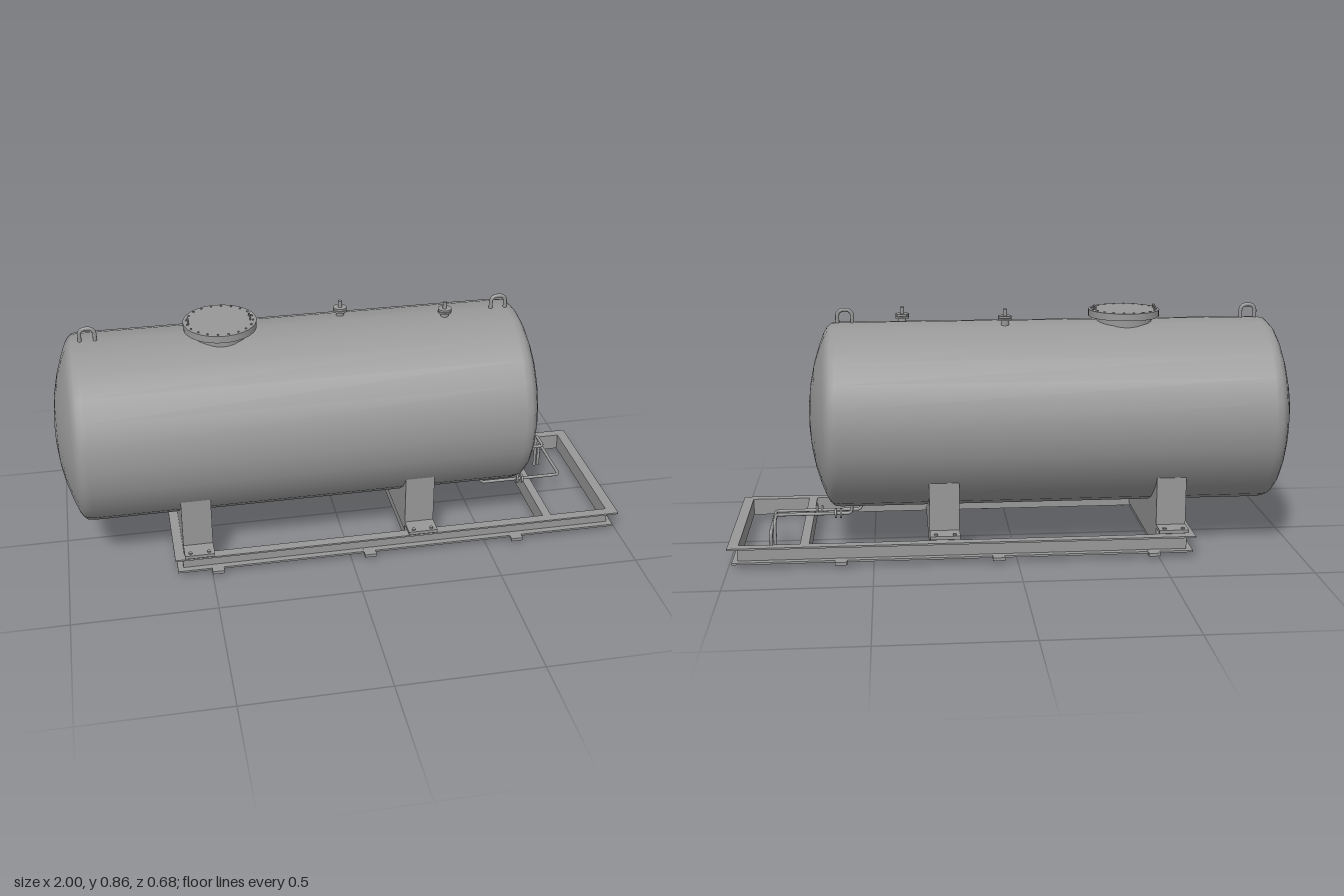
import * as THREE from 'three';

const mat = new THREE.MeshStandardMaterial({ color: 0x989898, side: THREE.DoubleSide });
const CY = 0.473, CZ = -0.004, R = 0.331; // tank axis and radius

export function createModel() {
  const root = new THREE.Group();
  root.name = 'storageTank';

  const add = (name, geo, x = 0, y = 0, z = 0, parent = root) => {
    const m = new THREE.Mesh(geo, mat);
    m.name = name;
    m.position.set(x, y, z);
    parent.add(m);
    return m;
  };
  const group = (name) => {
    const g = new THREE.Group();
    g.name = name;
    root.add(g);
    return g;
  };
  // box given by its limits
  const slab = (name, x0, x1, y0, y1, z0, z1, parent) =>
    add(name, new THREE.BoxGeometry(x1 - x0, y1 - y0, z1 - z0), (x0 + x1) / 2, (y0 + y1) / 2, (z0 + z1) / 2, parent);
  // upright cylinder given by its ends
  const post = (name, r, y0, y1, x, z, parent, sides = 16) =>
    add(name, new THREE.CylinderGeometry(r, r, y1 - y0, sides), x, (y0 + y1) / 2, z, parent);
  // pipe through corner points with rounded bends
  const pipe = (name, pts, r, bend, parent) => {
    const v = pts.map((p) => new THREE.Vector3(...p));
    const path = new THREE.CurvePath();
    let from = v[0];
    for (let i = 1; i < v.length - 1; i++) {
      const a = v[i].clone().add(v[i - 1].clone().sub(v[i]).setLength(bend));
      const b = v[i].clone().add(v[i + 1].clone().sub(v[i]).setLength(bend));
      path.add(new THREE.LineCurve3(from, a));
      path.add(new THREE.QuadraticBezierCurve3(a, v[i], b));
      from = b;
    }
    path.add(new THREE.LineCurve3(from, v[v.length - 1]));
    return add(name, new THREE.TubeGeometry(path, 90, r, 8), 0, 0, 0, parent);
  };

  // Tank shell with dished ends, turned onto its side
  const dish = [[0.722, 0], [0.719, 0.065], [0.711, 0.13], [0.697, 0.195], [0.678, 0.255],
    [0.661, 0.298], [0.65, 0.316], [0.636, 0.328], [0.615, R]];
  const profile = [
    ...dish.map(([x, r]) => new THREE.Vector2(r, -0.278 - x)),
    ...dish.slice().reverse().map(([x, r]) => new THREE.Vector2(r, x)),
  ];
  add('tankShell', new THREE.LatheGeometry(profile, 24).rotateZ(-Math.PI / 2), 0, CY, CZ);

  // Manhole: neck, flange, lid, bolts and two handles
  const manhole = group('manhole');
  const mx = -0.406;
  post('manholeNeck', 0.1, 0.76, 0.816, mx, CZ, manhole, 32);
  post('manholeFlange', 0.127, 0.815, 0.828, mx, CZ, manhole, 32);
  post('manholeLid', 0.127, 0.828, 0.84, mx, CZ, manhole, 32);
  for (let i = 0; i < 20; i++) {
    const a = ((i + 0.5) / 20) * Math.PI * 2;
    post('manholeBolt', 0.004, 0.838, 0.843, mx + 0.115 * Math.cos(a), CZ + 0.115 * Math.sin(a), manhole, 6);
  }
  for (const x of [-0.515, -0.302]) {
    pipe('lidHandle', [[x, 0.838, CZ - 0.017], [x, 0.852, CZ - 0.017], [x, 0.852, CZ + 0.017], [x, 0.838, CZ + 0.017]],
      0.003, 0.006, manhole);
  }

  // Lifting eyes
  for (const x of [-0.858, 0.587]) {
    pipe('liftingEye', [[x - 0.026, 0.79, CZ], [x - 0.026, 0.849, CZ], [x + 0.026, 0.849, CZ], [x + 0.026, 0.79, CZ]],
      0.007, 0.025);
  }

  // Flanged top nozzles
  for (const [x, z] of [[0.025, -0.058], [0.385, 0.021]]) {
    const g = group('topNozzle');
    post('nozzleNeck', 0.014, 0.78, 0.815, x, z, g);
    post('nozzleFlange', 0.024, 0.813, 0.82, x, z, g);
    post('nozzleCover', 0.024, 0.822, 0.829, x, z, g);
    post('nozzleStem', 0.007, 0.81, 0.853, x, z, g);
  }

  // Saddles: blocks cut to the tank curve, with hold-down brackets each side
  const hz = 0.272;
  const topY = CY - Math.sqrt(R * R - hz * hz) + 0.008;
  const half = Math.asin(hz / R);
  const s = new THREE.Shape();
  s.moveTo(-hz, 0.076);
  s.lineTo(hz, 0.076);
  s.lineTo(hz, topY);
  for (let i = 0; i <= 16; i++) {
    const a = half - (2 * half * i) / 16;
    s.lineTo((R - 0.005) * Math.sin(a), CY - (R - 0.005) * Math.cos(a));
  }
  s.lineTo(-hz, topY);
  s.closePath();
  for (const x of [-0.543, 0.253]) {
    const g = group('saddle');
    const geo = new THREE.ExtrudeGeometry(s, { depth: 0.104, bevelEnabled: false });
    geo.translate(0, 0, -0.052).rotateY(Math.PI / 2);
    add('saddleBlock', geo, x, 0, 0, g);
    slab('saddleCrossBeam', x - 0.045, x + 0.052, 0.026, 0.076, -hz, hz, g);
    for (const side of [-1, 1]) {
      const z = side * 0.305;
      slab('holdDownPlate', x - 0.052, x + 0.052, 0.101, 0.113, z - 0.034, z + 0.034, g);
      for (const dx of [-0.032, 0.032]) post('holdDownBolt', 0.007, 0.112, 0.118, x + dx, side * 0.325, g, 6);
    }
  }

  // Skid frame: outward-facing channels on all four sides
  const skid = group('skidFrame');
  const x0 = -0.6, x1 = 0.968, zi = 0.278;
  for (const side of [-1, 1]) {
    const zr = (a, b) => (side > 0 ? [a, b] : [-b, -a]);
    slab('sideWeb', x0, x1, 0.02, 0.075, ...zr(zi - 0.005, zi), skid);
    slab('sideTopFlange', -0.628, 1, 0.072, 0.078, ...zr(zi - 0.005, 0.308), skid);
    slab('sideBottomFlange', -0.62, 0.986, 0.017, 0.024, ...zr(zi - 0.005, 0.3), skid);
    // Small anchor clips under the side channels
    for (const x of [-0.48, 0.067, 0.612]) {
      slab('anchorClip', x - 0.021, x + 0.021, 0.014, 0.025, ...zr(0.28, 0.324), skid);
    }
  }
  for (const [name, web, out, low] of [['rear', x0, -0.628, -0.62], ['front', x1, 1, 0.986]]) {
    const xr = (a, b) => [Math.min(a, b), Math.max(a, b)];
    const inner = web - Math.sign(out) * 0.005;
    slab(name + 'EndWeb', ...xr(inner, web), 0.02, 0.075, -zi, zi, skid);
    slab(name + 'EndTopFlange', ...xr(inner, out), 0.072, 0.078, -0.308, 0.308, skid);
    slab(name + 'EndBottomFlange', ...xr(inner, low), 0.017, 0.024, -0.3, 0.3, skid);
  }
  // Intermediate cross channel
  slab('crossWeb', 0.721, 0.727, 0.02, 0.075, -zi, zi, skid);
  slab('crossTopFlange', 0.721, 0.752, 0.072, 0.078, -zi, zi, skid);
  slab('crossBottomFlange', 0.721, 0.752, 0.017, 0.024, -zi, zi, skid);

  // Drain pipes with flange pairs
  const drains = [
    ['longDrain', 0.548, 0.1, 0.045, 0.858, 0.7],
    ['shortDrain', 0.578, 0.135, -0.113, 0.844, 0.625],
  ];
  for (const [name, xs, y, z, xe, xf] of drains) {
    const g = group(name);
    pipe('drainPipe', [[xs, 0.18, z], [xs, y, z], [xe, y, z], [xe, y, -0.192], [xe, 0, -0.192]], 0.006, 0.015, g);
    for (const dx of [-0.009, 0.009]) {
      add('drainFlange', new THREE.CylinderGeometry(0.017, 0.017, 0.007, 16).rotateZ(Math.PI / 2), xf + dx, y, z, g);
    }
  }
  return root;
}
